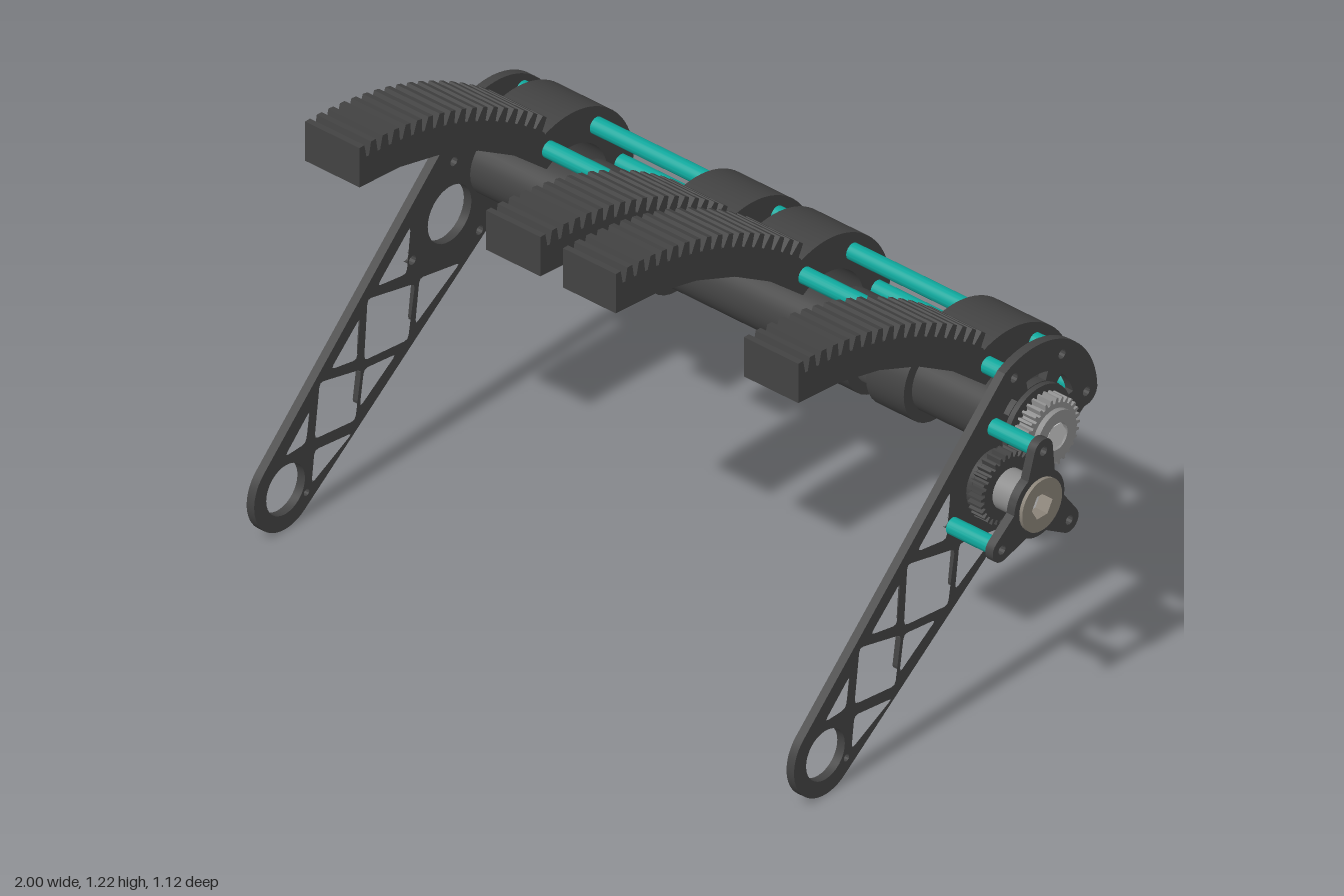
import * as THREE from 'three';
import { toCreasedNormals } from 'three/addons/utils/BufferGeometryUtils.js';

const paint = (color) => new THREE.MeshStandardMaterial({ color });
const dark = paint(0x434343), teal = paint(0x0fa79c), steel = paint(0x8c8c8c);
const silver = paint(0xcccccc), bronze = paint(0x8a8378);

// Profiles are drawn in (u, v) = (-z, y) and extruded along x
const FOOT = [-0.445, 0.116], HUB = [0.32, 0.713], IDLER = [0.155, 0.635];
const D = Math.PI / 180;
const polar = (c, r, deg) => [c[0] + r * Math.cos(deg * D), c[1] + r * Math.sin(deg * D)];
const BOLTS = [2.9, 58, 113].map((a) => polar(HUB, 0.19, a));
const POSTS = [[0.171, 0.781], [0.019, 0.565], [0.265, 0.535]];

const arc = (c, r, a0, a1, n = 16) =>
  Array.from({ length: n + 1 }, (_, i) => polar(c, r, a0 + ((a1 - a0) * i) / n));
const circle = (c, r, n = 32) => arc(c, r, 0, 360, n).slice(0, -1);
const hexagon = (c, r) => circle(c, r, 6);
const vectors = (pts) => pts.map(([x, y]) => new THREE.Vector2(x, y));

// Polygon with small rounded corners
function rounded(pts, k = 0.014) {
  const out = [];
  pts.forEach((p, i) => {
    const toward = (q) => {
      const d = Math.hypot(q[0] - p[0], q[1] - p[1]);
      return [p[0] + ((q[0] - p[0]) * k) / d, p[1] + ((q[1] - p[1]) * k) / d];
    };
    const a = toward(pts[(i + pts.length - 1) % pts.length]);
    const b = toward(pts[(i + 1) % pts.length]);
    out.push(a, [(a[0] + b[0] + 2 * p[0]) / 4, (a[1] + b[1] + 2 * p[1]) / 4], b);
  });
  return out;
}

function slab(name, outline, holes, x0, x1, material) {
  const shape = new THREE.Shape(vectors(outline));
  shape.holes = holes.map((h) => new THREE.Path(vectors(h)));
  const geo = new THREE.ExtrudeGeometry(shape, { depth: x1 - x0, bevelEnabled: false });
  geo.rotateY(Math.PI / 2);
  geo.translate(x0, 0, 0);
  const mesh = new THREE.Mesh(toCreasedNormals(geo, 0.3), material);
  mesh.name = name;
  return mesh;
}

const ring = (name, c, ro, ri, x0, x1, material) =>
  slab(name, circle(c, ro), ri ? [circle(c, ri)] : [], x0, x1, material);

function gearOutline(c, root, tip, teeth) {
  const pts = [], step = 360 / teeth;
  for (let i = 0; i < teeth; i++) {
    [[0, root], [0.35, root], [0.5, tip], [0.8, tip]].forEach(([f, r]) =>
      pts.push(polar(c, r, (i + f) * step)));
  }
  return pts;
}

// Truss side plate
function sidePlate(name, x0, x1) {
  const outline = [
    ...arc(FOOT, 0.115, -52, -226, 24),
    ...arc(HUB, 0.23, 118, 2, 24),
    ...arc(BOLTS[0], 0.04, -10, -100, 6),
  ];
  const truss = [
    [[-0.355, 0.306], [-0.371, 0.216], [-0.448, 0.213]],
    [[-0.32, 0.37], [-0.168, 0.335], [-0.19, 0.197], [-0.339, 0.213]],
    [[-0.28, 0.388], [-0.171, 0.49], [-0.184, 0.371]],
    [[-0.145, 0.53], [0.029, 0.492], [0.003, 0.34], [-0.158, 0.356]],
    [[-0.158, 0.332], [-0.04, 0.319], [-0.174, 0.226]],
    [[-0.339, 0.181], [-0.2, 0.165], [-0.35, 0.087]],
    [[0.045, 0.5], [0.194, 0.474], [0.029, 0.371]],
    [[-0.11, 0.55], [0.013, 0.668], [-0.002, 0.535]],
  ];
  const slots = [[14, 47], [70, 102], [122, 142]].map(([a, b]) =>
    [...arc(HUB, 0.145, a, b, 6), ...arc(HUB, 0.12, b, a, 6)]);
  return slab(name, outline, [
    circle(FOOT, 0.071), circle([-0.368, 0.071], 0.01, 12),
    circle(HUB, 0.085), circle(IDLER, 0.08),
    ...[...BOLTS, ...POSTS].map((b) => circle(b, 0.013, 12)),
    ...slots, ...truss.map((t) => rounded(t)),
  ], x0, x1, dark);
}

// Toothed rack centred on the foot pivot, hooking around the main tube
function rackArm(x0, x1) {
  const pts = [...arc(FOOT, 0.99, 46.5, 90, 5)];
  const step = 2.2;
  for (let i = 0; i < 18; i++) {
    const a = 90 - i * step;
    [[0, 1.105], [0.42, 1.105], [0.62, 1.068], [0.85, 1.068]].forEach(([f, r]) =>
      pts.push(polar(FOOT, r, a - f * step)));
  }
  pts.push(...arc(HUB, 0.239, 111, 3, 24));
  pts.push(...arc(BOLTS[0], 0.048, -15, -165, 10));
  pts.push(...arc(HUB, 0.143, 3, 124, 20));
  return slab('rackArm', pts, BOLTS.map((b) => circle(b, 0.02, 16)), x0, x1, dark);
}

// Gear train outside the +x plate
function gearBox() {
  const g = new THREE.Group();
  g.name = 'gearBox';
  g.add(ring('bearingFlange', HUB, 0.118, 0.04, 0.825, 0.84, dark));
  g.add(slab('driveGear', gearOutline(HUB, 0.086, 0.1, 30), [hexagon(HUB, 0.038)], 0.84, 0.885, steel));
  g.add(ring('driveGearHub', HUB, 0.072, 0.038, 0.885, 0.9, steel));
  g.add(ring('idlerFlange', IDLER, 0.085, 0.045, 0.82, 0.84, dark));
  g.add(slab('idlerGear', gearOutline(IDLER, 0.084, 0.098, 30), [hexagon(IDLER, 0.038)], 0.84, 0.885, dark));
  g.add(ring('idlerSpacer', IDLER, 0.055, 0.045, 0.885, 0.965, steel));
  POSTS.forEach((p) => g.add(ring('post', p, 0.023, 0.013, 0.825, 0.965, teal)));
  // Three eared cover: ring bulging to each post
  const cover = [];
  const ears = POSTS.map((p) => ({ p, a: Math.atan2(p[1] - IDLER[1], p[0] - IDLER[0]) / D }));
  ears.map((e) => ({ ...e, a: (e.a + 360) % 360 })).sort((m, n) => m.a - n.a).forEach((e, i, all) => {
    const next = i < 2 ? all[i + 1].a : all[0].a + 360;
    cover.push(...arc(e.p, 0.034, e.a - 80, e.a + 80, 10));
    cover.push(...arc(IDLER, 0.092, e.a + 32, next - 32, 10));
  });
  g.add(slab('coverPlate', cover,
    [circle(IDLER, 0.07), ...POSTS.map((p) => circle(p, 0.013, 12))], 0.965, 0.99, dark));
  g.add(slab('coverBearing', circle(IDLER, 0.073), [hexagon(IDLER, 0.038)], 0.96, 1, bronze));
  return g;
}

export function createModel() {
  const model = new THREE.Group();
  model.name = 'rackLiftFrame';

  model.add(sidePlate('rightPlate', -0.99, -0.965), sidePlate('leftPlate', 0.8, 0.825));

  [[-0.9, -0.72], [-0.3, -0.12], [-0.045, 0.13], [0.555, 0.735]].forEach(([a, b]) =>
    model.add(rackArm(a, b)));

  // Main tube sections, collars facing each gap, and the shaft inside
  [[-0.965, -0.6], [-0.43, 0.25], [0.44, 0.8]].forEach(([a, b]) =>
    model.add(ring('mainTube', HUB, 0.09, 0.04, a, b, dark)));
  [[-0.67, -0.55], [-0.48, -0.36], [0.19, 0.31], [0.375, 0.5]].forEach(([a, b]) =>
    model.add(ring('collar', HUB, 0.12, 0.089, a, b, dark)));
  model.add(slab('shaft', hexagon(HUB, 0.037), [], -0.995, 0.897, silver));
  [[-0.62, -0.41], [0.24, 0.45]].forEach(([a, b]) =>
    model.add(ring('shaftSleeve', HUB, 0.046, 0.036, a, b, silver)));

  // Shaft bearing on the -x plate
  model.add(ring('endBearing', HUB, 0.078, 0.055, -1, -0.96, dark));
  model.add(ring('endBearingRace', HUB, 0.056, 0.036, -0.995, -0.965, steel));

  BOLTS.forEach((b) => model.add(ring('crossRod', b, 0.023, 0.013, -0.965, 0.8, teal)));

  model.add(gearBox());
  return model;
}
